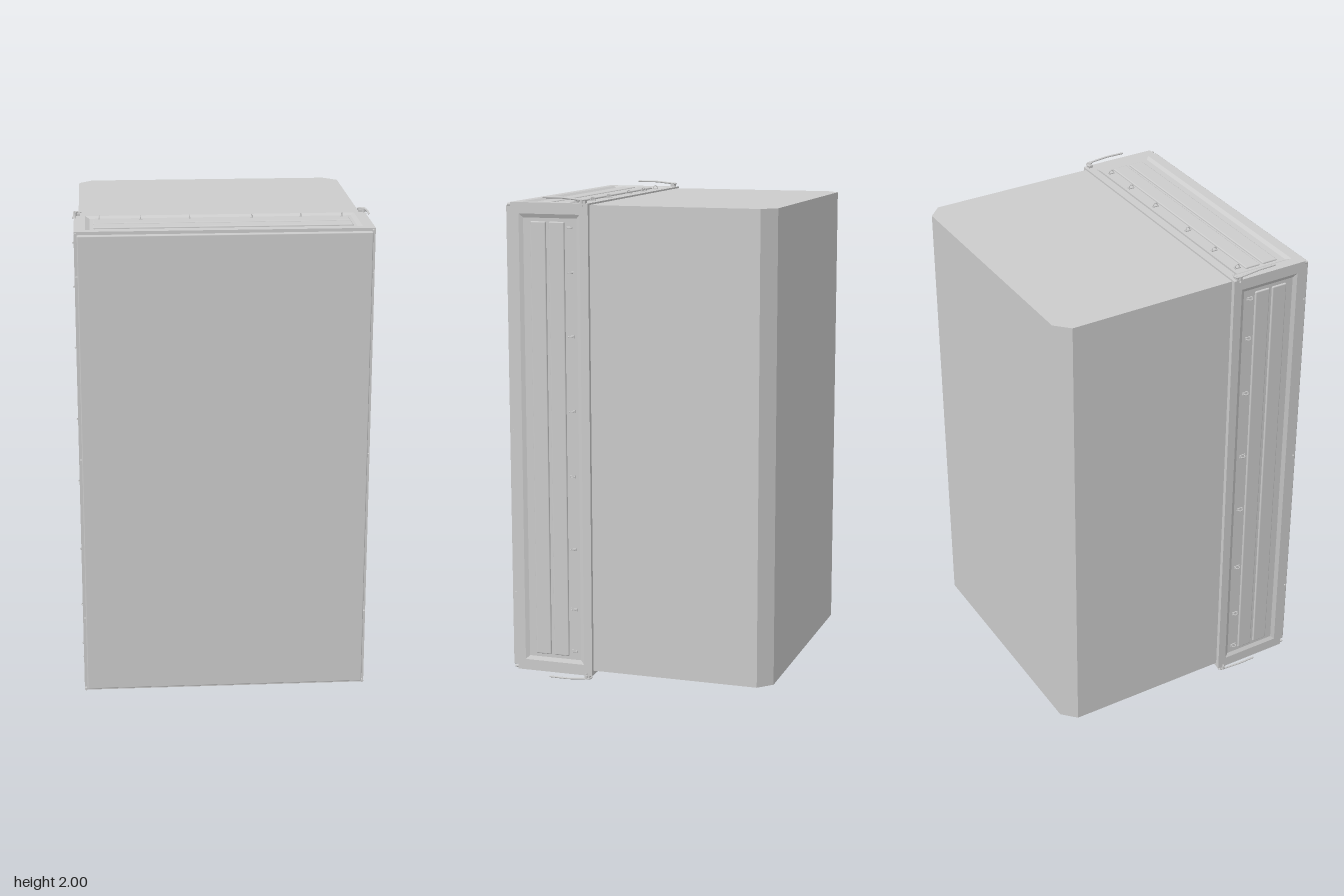
import * as THREE from 'three';
import { RoundedBoxGeometry } from 'three/addons/geometries/RoundedBoxGeometry.js';

const grey = new THREE.MeshStandardMaterial({ color: 0xcccccc, flatShading: true });
const smooth = new THREE.MeshStandardMaterial({ color: 0xcccccc });

function add(parent, name, geometry, x = 0, y = 0, z = 0, material = grey) {
  const mesh = new THREE.Mesh(geometry, material);
  mesh.name = name;
  mesh.position.set(x, y, z);
  parent.add(mesh);
  return mesh;
}
const box = (w, h, d) => new THREE.BoxGeometry(w, h, d);
const tube = (points, r) => new THREE.TubeGeometry(
  new THREE.CatmullRomCurve3(points.map(p => new THREE.Vector3(...p)), false, 'catmullrom', 0.2), 40, r, 8);

const HALF_W = 0.585, HALF_H = 0.9725, MID_Y = 1.0025;
const Z0 = 0.2, Z1 = 0.53, RECESS = 0.008;

// Rectangle corners in x/z, counter-clockwise seen from above
const corners = (hx, za, zb, y) => [[-hx, y, zb], [hx, y, zb], [hx, y, za], [-hx, y, za]];

// Four sloping faces between an outer and a lower inner rectangle
function slopeRing(outer, inner) {
  const pos = [];
  for (let i = 0; i < 4; i++) {
    const j = (i + 1) % 4;
    pos.push(...outer[i], ...outer[j], ...inner[j], ...outer[i], ...inner[j], ...inner[i]);
  }
  const g = new THREE.BufferGeometry();
  g.setAttribute('position', new THREE.Float32BufferAttribute(pos, 3));
  g.computeVertexNormals();
  return g;
}

// One face of the frame, lying flat: x along its length, y outward
function framePanel(name, half, lugs) {
  const panel = new THREE.Group();
  panel.name = name;

  // Flat rim around the recess
  const rim = new THREE.Shape([[-half, -Z1], [half, -Z1], [half, -Z0], [-half, -Z0]].map(p => new THREE.Vector2(...p)));
  const hx = half - 0.045, za = 0.235, zb = 0.495;
  rim.holes.push(new THREE.Path([[-hx, -zb], [-hx, -za], [hx, -za], [hx, -zb]].map(p => new THREE.Vector2(...p))));
  add(panel, 'rim', new THREE.ShapeGeometry(rim).rotateX(-Math.PI / 2));
  add(panel, 'recessSlope', slopeRing(corners(hx, za, zb, 0), corners(hx - 0.016, za + 0.016, zb - 0.016, -RECESS)));
  add(panel, 'recessFloor', box((hx - 0.016) * 2, 0.01, zb - za - 0.032), 0, -RECESS - 0.005, (za + zb) / 2);

  // Two long raised strips
  for (const z of [0.335, 0.414]) {
    add(panel, 'raisedStrip', new RoundedBoxGeometry((half - 0.075) * 2, 0.012, 0.066, 2, 0.005), 0, -RECESS + 0.001, z, smooth);
  }

  // Lashing rings on small base plates
  for (const x of lugs) {
    add(panel, 'lashingPlate', box(0.012, 0.004, 0.026), x, -RECESS + 0.002, 0.278);
    add(panel, 'lashingRing', new THREE.TorusGeometry(0.009, 0.002, 6, 12, Math.PI).rotateY(Math.PI / 2),
      x, -0.001, 0.278, smooth);
    for (const s of [-1, 1]) add(panel, 'lashingPost', box(0.004, 0.008, 0.004), x, -0.004, 0.278 + s * 0.009);
  }
  return panel;
}

// Lever, pivot and pin on the upper left corner
function cornerLever() {
  const g = new THREE.Group();
  g.name = 'cornerLever';
  add(g, 'lever', tube([[0.553, 0.984, 0.215], [0.57, 0.985, 0.209], [0.583, 0.986, 0.216], [0.584, 0.987, 0.24],
    [0.583, 0.9935, 0.31], [0.581, 0.9935, 0.39]], 0.004), 0, 0, 0, smooth);
  add(g, 'leverBracket', box(0.024, 0.012, 0.02), 0.572, HALF_H + 0.005, 0.222);
  add(g, 'leverPivot', new THREE.CylinderGeometry(0.009, 0.009, 0.016, 12), 0.58, HALF_H + 0.008, 0.227, smooth);
  add(g, 'leverPin', new THREE.CylinderGeometry(0.004, 0.004, 0.03, 8).rotateZ(Math.PI / 2), 0.577, HALF_H - 0.008, 0.225, smooth);
  add(g, 'doorBolt', new THREE.CylinderGeometry(0.006, 0.006, 0.014, 10).rotateX(Math.PI / 2), 0.578, HALF_H - 0.01, 0.537, smooth);
  return g;
}

export function createModel() {
  const model = new THREE.Group();
  model.name = 'cargoContainer';

  // Body with chamfered rear corners
  const plan = new THREE.Shape([[-0.567, -0.22], [0.567, -0.22], [0.567, 0.5], [0.51, 0.555], [-0.51, 0.555], [-0.567, 0.5]]
    .map(p => new THREE.Vector2(...p)));
  add(model, 'body', new THREE.ExtrudeGeometry(plan, { depth: 1.92, bevelEnabled: false }).rotateX(-Math.PI / 2), 0, 0.048, 0);

  // Front frame: inner core, end faces and four recessed panels
  const frame = new THREE.Group();
  frame.name = 'frontFrame';
  frame.position.y = MID_Y;
  model.add(frame);
  const inset = RECESS + 0.006;
  add(frame, 'frameCore', box((HALF_W - inset) * 2, (HALF_H - inset) * 2, Z1 - Z0 - 0.004), 0, 0, (Z0 + Z1) / 2);
  for (const z of [Z0 + 0.001, Z1 - 0.001]) {
    add(frame, 'frameEnd', box(HALF_W * 2, HALF_H * 2, 0.002), 0, 0, z);
  }
  const shortLugs = [-0.485, -0.32, -0.125, 0.125, 0.32, 0.485];
  const longLugs = [-0.875, -0.695, -0.44, -0.135, 0.135, 0.44, 0.695, 0.875];
  const panels = [
    ['topPanel', HALF_W, shortLugs, 0, 0, HALF_H],
    ['bottomPanel', HALF_W, shortLugs, Math.PI, 0, -HALF_H],
    ['leftPanel', HALF_H, longLugs, -Math.PI / 2, HALF_W, 0],
    ['rightPanel', HALF_H, longLugs, Math.PI / 2, -HALF_W, 0],
  ];
  for (const [name, half, lugs, turn, x, y] of panels) {
    const panel = framePanel(name, half, lugs);
    panel.rotation.z = turn;
    panel.position.set(x, y, 0);
    frame.add(panel);
  }

  // Levers mirrored to all four corners
  for (const sx of [-1, 1]) for (const sy of [-1, 1]) {
    const lever = cornerLever();
    lever.scale.set(sx, sy, 1);
    frame.add(lever);
  }

  // Door with latches along its sides and lower edge
  add(model, 'door', new RoundedBoxGeometry(1.146, 1.918, 0.026, 2, 0.004), 0, 1.004, 0.541, smooth);
  for (const s of [-1, 1]) for (const y of [0.34, 1.03, 1.78]) {
    add(model, 'sideLatch', box(0.012, 0.04, 0.012), s * 0.576, y, 0.536);
  }
  for (const x of [-0.42, 0, 0.42]) add(model, 'lowerLatch', box(0.036, 0.01, 0.012), x, 0.043, 0.536);

  // Loop handles under the body
  for (const s of [-1, 1]) {
    add(model, 'loopHandle', tube([[s * 0.31, 0.043, 0.21], [s * 0.31, 0.043, 0.125], [s * 0.323, 0.043, 0.112],
      [s * 0.447, 0.043, 0.112], [s * 0.46, 0.043, 0.125], [s * 0.46, 0.043, 0.21]], 0.004), 0, 0, 0, smooth);
  }
  return model;
}
